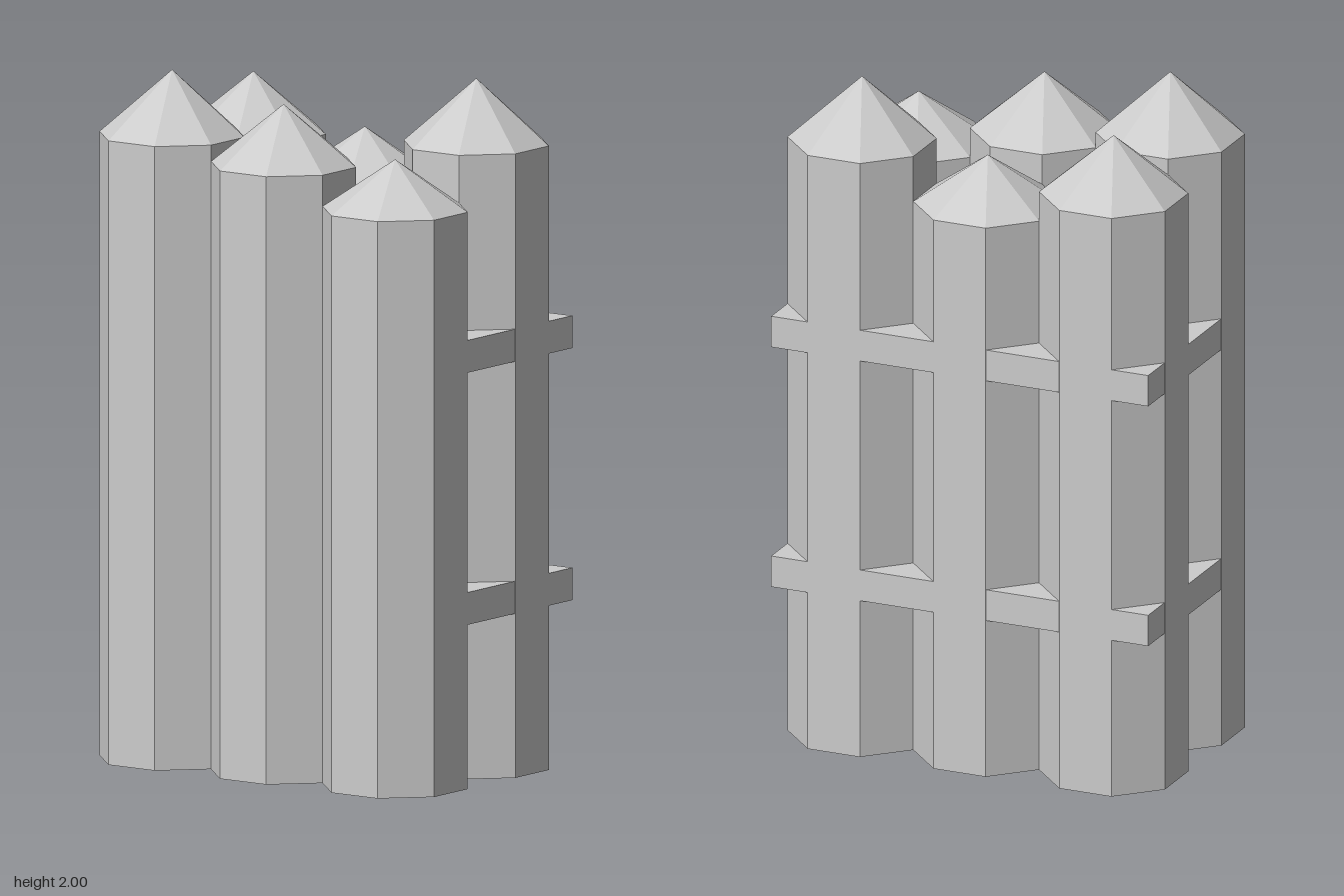
import * as THREE from 'three';

const material = new THREE.MeshStandardMaterial({ color: 0xcccccc, flatShading: true });
const HALF = 0.1973;                          // half width of a post across its flats
const RADIUS = HALF / Math.cos(Math.PI / 8);  // corner radius of the octagon

function addMesh(parent, geometry, name, x, y, z) {
  const mesh = new THREE.Mesh(geometry, material);
  mesh.name = name;
  mesh.position.set(x, y, z);
  parent.add(mesh);
}

// Octagonal post with a pointed cap
function createPost(name, eave, apex) {
  const post = new THREE.Group();
  post.name = name;
  const shaft = new THREE.CylinderGeometry(RADIUS, RADIUS, eave, 8, 1, false, Math.PI / 8);
  const cap = new THREE.ConeGeometry(RADIUS, apex - eave, 8, 1, true, Math.PI / 8);
  addMesh(post, shaft, 'shaft', 0, eave / 2, 0);
  addMesh(post, cap, 'pointedCap', 0, (eave + apex) / 2, 0);
  return post;
}

export function createModel() {
  const group = new THREE.Group();
  group.name = 'palisade';

  // Two rows of posts in three heights, each [eave, apex]
  const tall = [1.812, 2], medium = [1.765, 1.94], short = [1.675, 1.82];
  const rows = [
    { name: 'frontPost', z: HALF, heights: [tall, medium, short] },
    { name: 'backPost', z: -HALF, heights: [medium, short, tall] },
  ];
  for (const row of rows) {
    row.heights.forEach(([eave, apex], i) => {
      const post = createPost(row.name + (i + 1), eave, apex);
      post.position.set((i - 1) * 2 * HALF, 0, row.z);
      group.add(post);
    });
  }

  // Two cross beams filling the gaps at the back, the sides and between the rows
  const back = -2 * HALF + 0.0005, front = 0.16;
  const beam = new THREE.BoxGeometry(6 * HALF - 0.001, 0.094, front - back);
  addMesh(group, beam, 'lowerBeam', 0, 0.524, (front + back) / 2);
  addMesh(group, beam, 'upperBeam', 0, 1.256, (front + back) / 2);

  return group;
}
